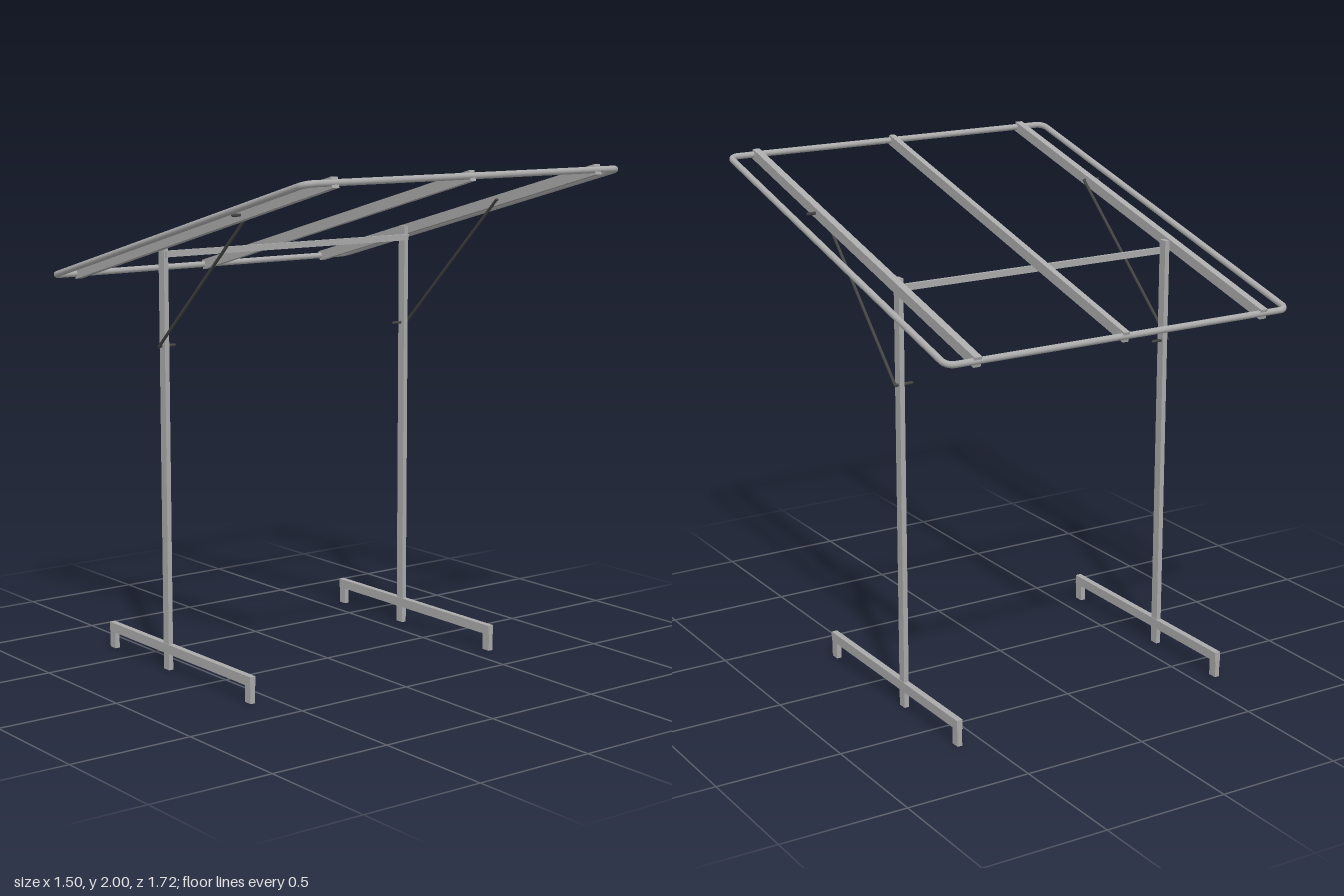
import * as THREE from 'three';

const steel = new THREE.MeshStandardMaterial({ color: 0xaaaaaa });
steel.name = 'light grey steel';
const darkSteel = new THREE.MeshStandardMaterial({ color: 0x444444 });
darkSteel.name = 'dark grey steel';

function add(parent, name, geometry, x = 0, y = 0, z = 0, material = steel) {
  const mesh = new THREE.Mesh(geometry, material);
  mesh.name = name;
  mesh.position.set(x, y, z);
  parent.add(mesh);
  return mesh;
}

const box = (w, h, d) => new THREE.BoxGeometry(w, h, d);

// Rounded rectangular loop of round tube, lying in the local xz plane
function tubeFrame(halfX, halfZ, corner, r) {
  const frame = new THREE.Group();
  frame.name = 'tubeFrame';
  const longX = 2 * (halfX - corner), longZ = 2 * (halfZ - corner);
  for (const s of [-1, 1]) {
    add(frame, 'frameEndTube', new THREE.CylinderGeometry(r, r, longX, 16, 1, true), 0, 0, s * halfZ)
      .rotation.z = Math.PI / 2;
    add(frame, 'frameSideTube', new THREE.CylinderGeometry(r, r, longZ, 16, 1, true), s * halfX, 0, 0)
      .rotation.x = Math.PI / 2;
  }
  const signs = [[1, 1], [-1, 1], [-1, -1], [1, -1]];
  signs.forEach(([sx, sz], i) => {
    const bend = new THREE.TorusGeometry(corner, r, 16, 8, Math.PI / 2);
    bend.rotateZ(i * Math.PI / 2).rotateX(Math.PI / 2);
    add(frame, 'frameCorner', bend, sx * longX / 2, 0, sz * longZ / 2);
  });
  return frame;
}

// Thin dark rod bent at both ends into a pin
function braceGroup(side) {
  const brace = new THREE.Group();
  brace.name = 'brace';
  const r = 0.006;
  const points = [[0.667, 1.836, 0.312], [0.599, 1.836, 0.312], [0.617, 1.292, -0.263], [0.547, 1.292, -0.263]]
    .map(([x, y, z]) => new THREE.Vector3(side * x, y, z));
  for (let i = 0; i < 3; i++) {
    const line = new THREE.LineCurve3(points[i], points[i + 1]);
    add(brace, i === 1 ? 'braceRod' : 'bracePin', new THREE.TubeGeometry(line, 1, r, 10, false), 0, 0, 0, darkSteel);
  }
  // Elbows and rounded tips close the rod
  for (const p of points) add(brace, 'braceJoint', new THREE.SphereGeometry(r, 10, 8), p.x, p.y, p.z, darkSteel);
  return brace;
}

export function createModel() {
  const model = new THREE.Group();
  model.name = 'tiltedRackStand';

  // Tilted top: tube loop with three lengthwise rails
  const top = new THREE.Group();
  top.name = 'tiltedTop';
  top.position.y = 1.752;
  top.rotation.x = -THREE.MathUtils.degToRad(15);
  top.add(tubeFrame(0.739, 0.875, 0.035, 0.0125));
  add(top, 'middleRail', box(0.025, 0.04, 1.768));
  model.add(top);

  for (const s of [-1, 1]) {
    add(top, 'sideRail', box(0.03, 0.04, 1.768), s * 0.62);

    // Upright, foot beam and its two end blocks
    add(model, 'upright', box(0.02, 1.695, 0.037), s * 0.595, 0.8475, -0.259);
    add(model, 'footBeam', box(0.025, 0.038, 0.994), s * 0.595, 0.086, -0.18);
    for (const z of [0.298, -0.658]) add(model, 'footBlock', box(0.02, 0.07, 0.038), s * 0.595, 0.035, z);

    model.add(braceGroup(s));
  }

  // Bar joining the uprights
  add(model, 'crossBar', box(1.2, 0.025, 0.013), 0, 1.65, -0.237);

  return model;
}
